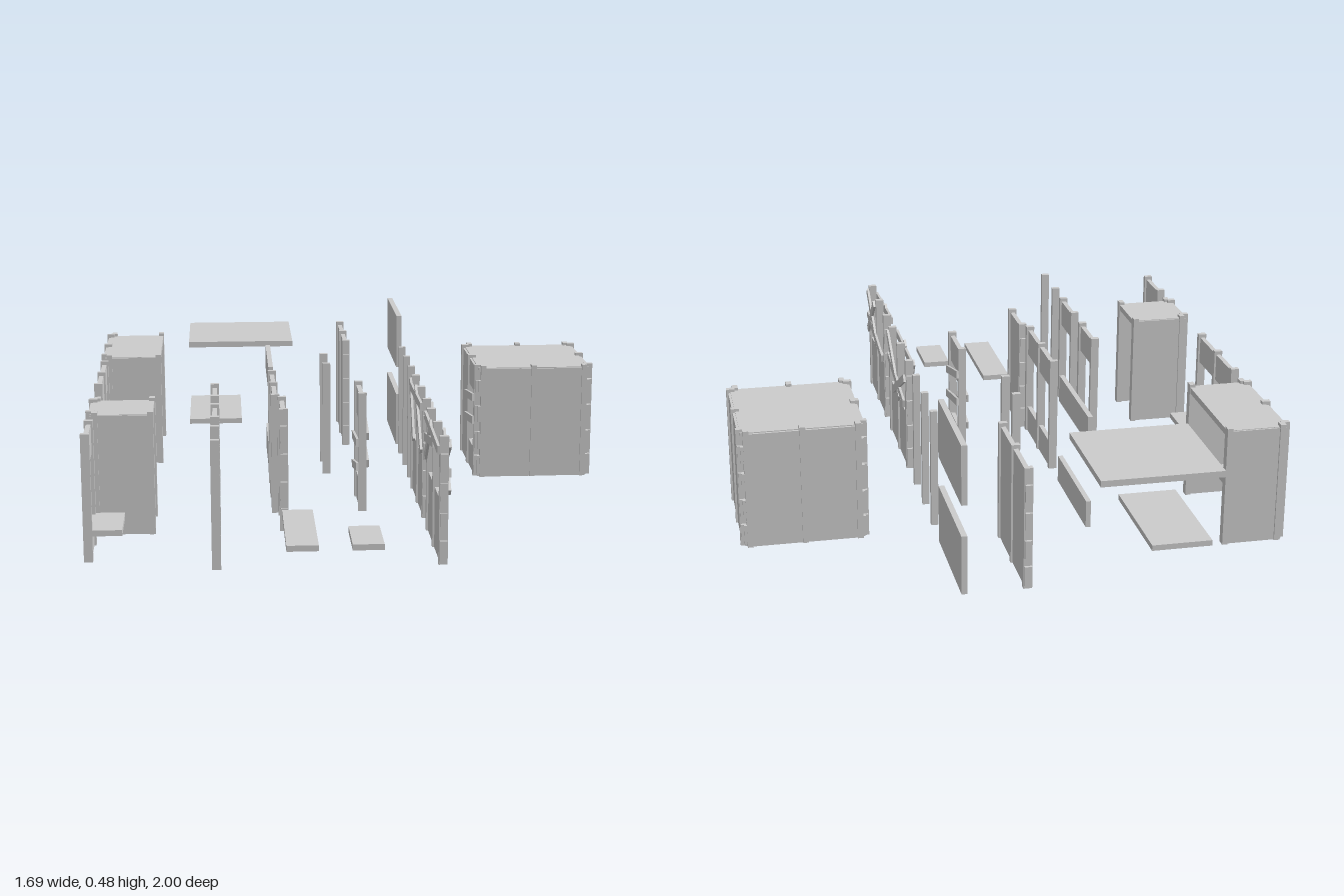
import * as THREE from 'three';

const H = 0.38, POST_H = 0.392, THICK = 0.015;
const mat = new THREE.MeshStandardMaterial({ color: 0xcccccc, flatShading: true });

// box given by its lower and upper limits
function block(parent, name, x0, x1, y0, y1, z0, z1) {
  const m = new THREE.Mesh(new THREE.BoxGeometry(x1 - x0, y1 - y0, z1 - z0), mat);
  m.position.set((x0 + x1) / 2, (y0 + y1) / 2, (z0 + z1) / 2);
  m.name = name;
  parent.add(m);
  return m;
}

function post(parent, x, z, w = 0.027) {
  return block(parent, 'post', x - w / 2, x + w / 2, 0, POST_H, z - 0.009, z + 0.009);
}

// slanted board lying in the plane of a wall
function plank(parent, x, [z0, y0, z1, y1]) {
  const len = Math.hypot(z1 - z0, y1 - y0);
  const m = new THREE.Mesh(new THREE.BoxGeometry(0.008, 0.026, len), mat);
  m.position.set(x, (y0 + y1) / 2, (z0 + z1) / 2);
  m.rotation.x = -Math.atan2(y1 - y0, z1 - z0);
  m.name = 'plank';
  parent.add(m);
}

// heights filled in each kind of wall
const FILL = {
  full: [[0, H]],
  window: [[0, 0.09], [0.29, H]],
  sill: [[0, 0.09]],
  lintel: [[0.29, H]],
  low: [[0, 0.19]],
};

// irregular wooden teeth along an upright edge
function teeth(parent, z, dir, top) {
  const steps = [0.012, 0.075, 0.1, 0.16, 0.195, 0.25, 0.285, 0.34];
  for (let i = 0; i < steps.length; i += 2) {
    if (steps[i + 1] > top) continue;
    block(parent, 'edgeTooth', -0.011, 0.011, steps[i], steps[i + 1],
      z + (dir > 0 ? 0 : -0.009), z + (dir > 0 ? 0.009 : 0));
  }
}

// wall running along z, with posts at both ends and between bays
function wall(parent, name, x, z0, z1, bays, kind, planks = [], jagged = false) {
  const g = new THREE.Group();
  g.name = name;
  const len = z1 - z0;
  g.position.set(x, 0, (z0 + z1) / 2);
  for (const [a, b] of FILL[kind])
    block(g, 'panel', -THICK / 2, THICK / 2, a, b, -len / 2 + 0.004, len / 2 - 0.004);
  for (let i = 0; i <= bays; i++)
    post(g, 0, THREE.MathUtils.lerp(-len / 2 + 0.009, len / 2 - 0.009, i / bays));
  if (jagged) {
    teeth(g, -len / 2, -1, H);
    teeth(g, len / 2, 1, H);
  }
  planks.forEach((p, i) => plank(g, i % 2 ? 0.017 : -0.017, p));
  parent.add(g);
  return g;
}

// window wall with a shelf on its inner side
function counterWall(parent, name, x, z0, z1, bays) {
  const g = wall(parent, name, x, z0, z1, bays, 'window');
  const half = (z1 - z0) / 2;
  block(g, 'counter', -0.005, 0.102, 0.08, 0.098, -half, half);
}

// roofed booth: window wall, two solid ends and an open side
function booth(parent, name, x0, x1, z0, z1, bays) {
  const g = new THREE.Group();
  g.name = name;
  counterWall(g, 'boothWindow', x0 + 0.01, z0 + 0.018, z1 - 0.018, bays);
  for (const z of [z0 + 0.012, z1 - 0.012]) {
    block(g, 'endPanel', x0 + 0.01, x1, 0, H, z - THICK / 2, z + THICK / 2);
    for (const x of [x0 + 0.024, x1 - 0.007])
      block(g, 'post', x - 0.009, x + 0.009, 0, POST_H, z - 0.0135, z + 0.0135);
  }
  block(g, 'roof', x0 + 0.01, x1, H - 0.018, H + 0.002, z0 + 0.01, z1 - 0.01);
  parent.add(g);
}

// closed cabin made of four framed walls, with a boarded window
function cabin(parent) {
  const g = new THREE.Group();
  g.name = 'cabin';
  const cx = 0.638, cz = -0.257, r = 0.19, e = 0.183;
  for (let i = 0; i < 4; i++) {
    const side = new THREE.Group();
    side.name = 'cabinSide';
    side.position.set(cx, 0, cz);
    side.rotation.y = i * Math.PI / 2;
    if (i === 2) {
      wall(side, 'boardedBay', r, -e, 0.006, 1, 'window', [
        [-0.1, 0.12, 0.1, 0.15], [0.1, 0.17, -0.1, 0.2],
        [-0.1, 0.21, 0.1, 0.24], [0.1, 0.25, -0.1, 0.28],
      ]);
      wall(side, 'solidBay', r, -0.006, e, 1, 'full');
    } else wall(side, 'solidWall', r, -e, e, 2, 'full');
    teeth(side.children[0], -e + (i === 2 ? 0.089 : 0), -1, H);
    teeth(side.children[side.children.length - 1], e - (i === 2 ? 0.089 : 0), 1, H);
    g.add(side);
  }
  block(g, 'cabinRoof', cx - r, cx + r, H - 0.018, H + 0.003, cz - r, cz + r);
  block(g, 'cabinFloor', cx - r, cx + r, 0, 0.018, cz - r, cz + r);
  parent.add(g);
}

export function createModel() {
  const g = new THREE.Group();
  g.name = 'buildingKit';

  cabin(g);
  booth(g, 'longBooth', -0.845, -0.643, -0.732, -0.32, 2);
  booth(g, 'shortBooth', -0.845, -0.643, 0.324, 0.54, 1);

  // window walls with counters
  counterWall(g, 'longCounterWall', -0.832, -0.235, 0.137, 2);
  counterWall(g, 'shortCounterWall', -0.832, 0.626, 0.812, 1);

  // single frames and plain walls
  wall(g, 'windowFrame', -0.452, 0.148, 0.336, 1, 'window');
  wall(g, 'doorFrame', -0.452, 0.435, 0.62, 1, 'lintel');
  wall(g, 'sillFrame', -0.452, 0.722, 0.91, 1, 'sill');
  wall(g, 'doubleWindowWall', -0.26, -0.042, 0.332, 2, 'window');
  wall(g, 'narrowWall', -0.24, 0.348, 0.533, 1, 'full', [], true);
  wall(g, 'wideWall', 0.024, -0.905, -0.53, 2, 'full', [], true);

  // boarded and broken walls
  wall(g, 'boardedWindow', 0.02, 0.14, 0.33, 1, 'window', [
    [-0.1, 0.11, 0.1, 0.15], [0.1, 0.16, -0.1, 0.2],
    [-0.1, 0.21, 0.1, 0.23], [0.1, 0.25, -0.1, 0.3],
  ]);
  wall(g, 'brokenWallBack', 0.217, 0.058, 0.425, 2, 'low', [
    [-0.17, 0.36, 0.18, 0.365], [-0.18, 0.33, 0.06, 0.2],
    [0.18, 0.22, 0.0, 0.39], [0.18, 0.37, -0.06, 0.21],
    [-0.05, 0.2, -0.17, 0.38], [0.17, 0.29, -0.16, 0.23],
  ], true);
  wall(g, 'brokenWallFront', 0.217, 0.54, 0.905, 2, 'low', [
    [-0.18, 0.37, 0.18, 0.35], [0.18, 0.37, -0.02, 0.23],
    [-0.18, 0.3, 0.06, 0.34], [0.18, 0.28, -0.16, 0.22],
    [-0.03, 0.38, -0.17, 0.24], [0.18, 0.22, 0.02, 0.37],
  ], true);

  // loose half panels, lintel and sill
  block(g, 'upperHalfPanel', 0.208, 0.226, 0.29, 0.48, -0.905, -0.53);
  block(g, 'lowerHalfPanel', 0.208, 0.226, 0, 0.19, -0.905, -0.53);
  block(g, 'looseLintel', -0.269, -0.253, 0.29, H, -0.523, -0.145);
  block(g, 'looseSill', -0.269, -0.253, 0, 0.09, -0.523, -0.145);

  // loose posts
  for (const z of [-0.305, -0.143]) post(g, -0.07, z);
  for (const z of [-0.402, -0.238, -0.076]) post(g, 0.217, z, 0.023);

  // loose roofs and counters
  block(g, 'wideRoof', -0.547, -0.168, 0.355, 0.375, -1, -0.622);
  block(g, 'narrowRoof', -0.547, -0.358, 0.09, 0.108, -0.91, -0.527);
  block(g, 'longCounter', -0.25, -0.156, 0.08, 0.098, 0.633, 1);
  block(g, 'shortCounter', -0.058, 0.035, 0.08, 0.098, 0.815, 1);

  return g;
}
